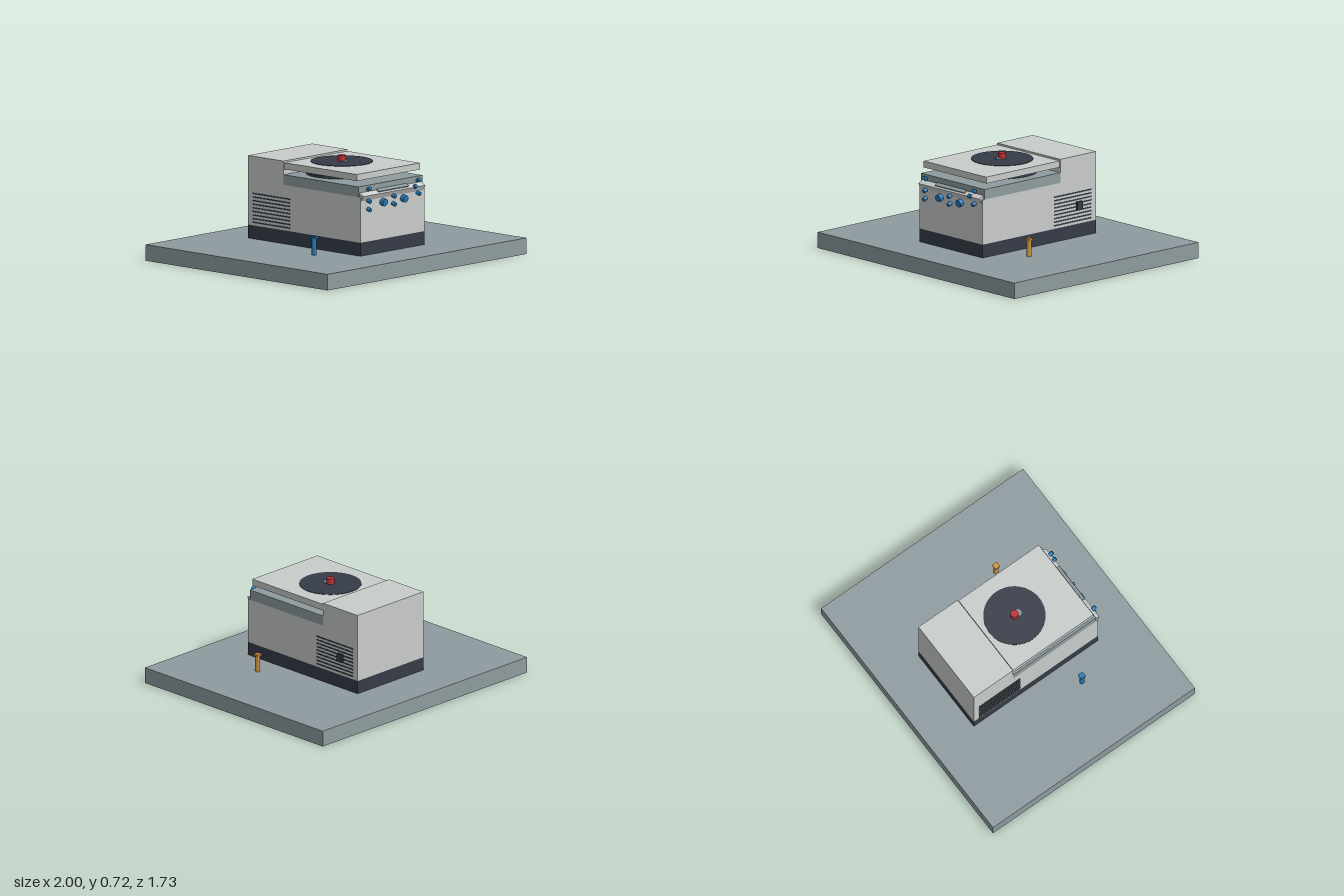
import * as THREE from 'three';

const mat = (name, color) => {
  const m = new THREE.MeshStandardMaterial({ color });
  m.name = name;
  return m;
};

export function createModel() {
  const light = mat('lightGrey', 0xc8cccb);
  const slate = mat('slateGrey', 0x8e9b9f);
  const dark = mat('charcoal', 0x353b48);
  const blue = mat('blue', 0x2679b5);
  const orange = mat('amber', 0xc9923c);
  const red = mat('red', 0xc22d31);

  const model = new THREE.Group();
  model.name = 'benchCentrifuge';

  const add = (name, geometry, material, x = 0, y = 0, z = 0, parent = model) => {
    const mesh = new THREE.Mesh(geometry, material);
    mesh.name = name;
    mesh.position.set(x, y, z);
    parent.add(mesh);
    return mesh;
  };
  // Box given by its limits on each axis
  const box = (name, material, x0, x1, y0, y1, z0, z1) =>
    add(name, new THREE.BoxGeometry(x1 - x0, y1 - y0, z1 - z0), material,
      (x0 + x1) / 2, (y0 + y1) / 2, (z0 + z1) / 2);
  // Upright disc from y0 to y1
  const disc = (name, material, r, y0, y1, z) =>
    add(name, new THREE.CylinderGeometry(r, r, y1 - y0, 48), material, 0, (y0 + y1) / 2, z);

  // Bench top and cabinet
  const W = 0.322;
  box('benchTop', slate, -1, 1, 0, 0.113, -0.865, 0.865);
  box('plinth', dark, -W, W, 0.113, 0.207, -0.53, 0.535);
  box('cabinet', light, -W, W, 0.207, 0.525, -0.53, 0.535);
  box('bowlRim', slate, -W, W, 0.525, 0.597, -0.195, 0.518);
  box('rearHousing', light, -W, W, 0.525, 0.692, -0.53, -0.195);

  // Rotor under the open lid gap
  const cz = 0.055;
  disc('rotorLower', dark, 0.247, 0.597, 0.615, cz);
  disc('rotorUpper', dark, 0.215, 0.615, 0.636, cz);

  // Lid with window, latch and knob
  box('lid', light, -0.318, 0.318, 0.635, 0.681, -0.19, 0.498);
  disc('lidWindow', dark, 0.215, 0.68, 0.684, cz);
  disc('lidLatch', slate, 0.026, 0.684, 0.69, 0.085);
  disc('lidKnob', red, 0.028, 0.684, 0.724, cz);

  // Sloping control panel across the front
  const section = new THREE.Shape([
    new THREE.Vector2(0.515, 0.495), new THREE.Vector2(0.537, 0.497),
    new THREE.Vector2(0.555, 0.532), new THREE.Vector2(0.515, 0.555),
  ]);
  const panel = new THREE.ExtrudeGeometry(section, { depth: 0.62, bevelEnabled: false });
  panel.rotateY(-Math.PI / 2).translate(0.31, 0, 0);
  add('controlPanel', panel, light);
  const display = add('display', new THREE.BoxGeometry(0.3, 0.008, 0.028), slate, 0, 0.552, 0.536);
  display.rotation.x = 0.52;

  // Control buttons: x, y, radius, tilt
  const buttons = [
    [-0.25, 0.578, 0.014, 0.45], [-0.25, 0.492, 0.014, -0.3], [-0.25, 0.433, 0.014, -0.3],
    [0, 0.496, 0.014, -0.3], [0, 0.441, 0.014, -0.3], [0.21, 0.535, 0.014, 0.45],
    [0.247, 0.578, 0.014, 0.45], [0.247, 0.484, 0.014, -0.3],
    [-0.103, 0.466, 0.026, -0.15], [0.103, 0.466, 0.026, -0.15],
  ];
  const controls = new THREE.Group();
  controls.name = 'controls';
  model.add(controls);
  for (const [x, y, r, tilt] of buttons) {
    const button = add('button', new THREE.CylinderGeometry(r, r, 0.03, 16), blue, x, y, 0.551, controls);
    button.rotation.x = Math.PI / 2 - tilt;
  }

  // Cooling vents on both sides, power switch on one
  for (const side of [-1, 1]) {
    for (let i = 0; i < 9; i++) {
      const y = 0.229 + i * 0.0253;
      const x = side * W;
      box('ventSlat', dark, x - 0.003, x + 0.003, y - 0.0045, y + 0.0045, -0.485, -0.133);
    }
  }
  box('powerSwitch', dark, W, 0.336, 0.305, 0.366, -0.392, -0.341);

  // Sample tubes standing on the bench
  for (const [side, material] of [[-1, blue], [1, orange]]) {
    const tube = new THREE.Group();
    tube.name = side < 0 ? 'blueTube' : 'amberTube';
    tube.position.set(side * 0.5, 0.113, 0.265);
    model.add(tube);
    add('tubeBody', new THREE.CylinderGeometry(0.017, 0.017, 0.118, 16), material, 0, 0.059, 0, tube);
    add('tubeCap', new THREE.BoxGeometry(0.04, 0.013, 0.04), material, 0, 0.122, 0, tube);
  }
  return model;
}
